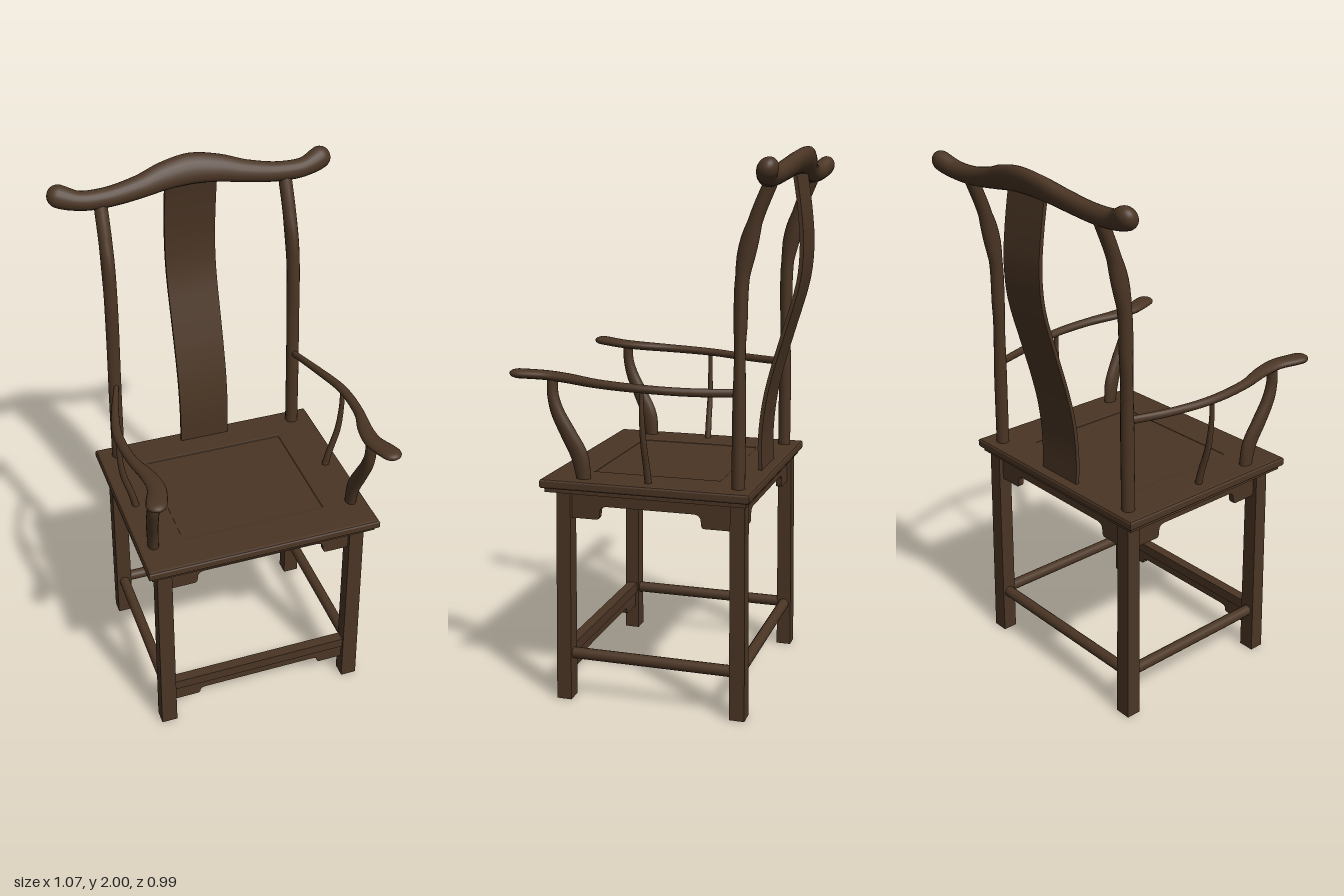
import * as THREE from 'three';

const wood = new THREE.MeshStandardMaterial({ color: 0x4a3524 });
wood.name = 'dark wood';

// Smooth sweep with rounded ends; each point is [x, y, z, sideRadius, upRadius]
function sweep(points, up, capped = true, steps = 48, sides = 16) {
  const path = new THREE.CatmullRomCurve3(points.map(p => new THREE.Vector3(p[0], p[1], p[2])));
  const radii = new THREE.CatmullRomCurve3(points.map(p => new THREE.Vector3(p[3], p[4], 0)));
  const length = path.getLength();
  const pos = [], index = [];
  for (let i = 0; i <= steps; i++) {
    const u = 0.5 - 0.5 * Math.cos(Math.PI * i / steps);
    const t = path.getUtoTmapping(u);
    const c = path.getPoint(t), T = path.getTangent(t), r = radii.getPoint(t);
    const S = new THREE.Vector3().crossVectors(up, T).normalize();
    const U = new THREE.Vector3().crossVectors(T, S);
    const d = Math.min(u, 1 - u) * length / Math.max(r.x, r.y);
    const k = capped && d < 1 ? Math.sqrt(Math.max(1e-6, 1 - (1 - d) ** 2)) : 1;
    for (let j = 0; j < sides; j++) {
      const a = 2 * Math.PI * j / sides;
      const p = c.clone().addScaledVector(S, r.x * k * Math.cos(a)).addScaledVector(U, r.y * k * Math.sin(a));
      pos.push(p.x, p.y, p.z);
      if (i < steps) {
        const n = (j + 1) % sides, o = i * sides, q = o + sides;
        index.push(o + j, o + n, q + j, o + n, q + n, q + j);
      }
    }
  }
  const g = new THREE.BufferGeometry();
  g.setAttribute('position', new THREE.Float32BufferAttribute(pos, 3));
  g.setIndex(index);
  g.computeVertexNormals();
  return g;
}

// Board with a dropped, coved bracket at each end
function apronGeometry(length, top, middle, bottom, bracket, thickness) {
  const h = length / 2, e = h - bracket, c = 0.03, m = (middle + bottom) / 2;
  const s = new THREE.Shape();
  s.moveTo(-h, top);
  s.lineTo(-h, bottom);
  s.lineTo(-e - c, bottom);
  s.quadraticCurveTo(-e - c + 0.012, bottom, -e - c + 0.012, m);
  s.quadraticCurveTo(-e - c + 0.012, middle, -e + c * 0.4, middle);
  s.lineTo(e - c * 0.4, middle);
  s.quadraticCurveTo(e + c - 0.012, middle, e + c - 0.012, m);
  s.quadraticCurveTo(e + c - 0.012, bottom, e + c, bottom);
  s.lineTo(h, bottom);
  s.lineTo(h, top);
  return new THREE.ExtrudeGeometry(s, { depth: thickness, bevelEnabled: false, curveSegments: 6 })
    .translate(0, 0, -thickness / 2);
}

function rectangle(Type, w, d) {
  const s = new Type();
  s.moveTo(-w / 2, -d / 2);
  s.lineTo(w / 2, -d / 2);
  s.lineTo(w / 2, d / 2);
  s.lineTo(-w / 2, d / 2);
  s.closePath();
  return s;
}

export function createModel() {
  const model = new THREE.Group();
  model.name = 'armchair';
  const Y = new THREE.Vector3(0, 1, 0), X = new THREE.Vector3(1, 0, 0);
  const add = (name, geometry, x = 0, y = 0, z = 0) => {
    const mesh = new THREE.Mesh(geometry, wood);
    mesh.name = name;
    mesh.position.set(x, y, z);
    model.add(mesh);
    return mesh;
  };

  // Seat: mitred frame, inset panel and a narrower lower edge
  const frame = rectangle(THREE.Shape, 0.87, 0.745);
  frame.holes.push(rectangle(THREE.Path, 0.57, 0.49));
  add('seatFrame', new THREE.ExtrudeGeometry(frame, {
    depth: 0.02, bevelEnabled: true, bevelSize: 0.012, bevelOffset: 0, bevelThickness: 0.008, bevelSegments: 2,
  }).rotateX(-Math.PI / 2), 0, 0.812, 0.003);
  add('seatPanel', new THREE.BoxGeometry(0.562, 0.03, 0.482), 0, 0.821, 0);
  add('seatBase', new THREE.BoxGeometry(0.865, 0.025, 0.74), 0, 0.8025, 0.003);

  // Splayed square legs
  for (const sx of [-1, 1]) for (const [z, sz] of [[0.315, 1], [-0.332, -1]]) {
    const leg = new THREE.BoxGeometry(0.062, 0.8, 0.056);
    const p = leg.attributes.position;
    for (let i = 0; i < p.count; i++) {
      const top = p.getY(i) > 0;
      p.setX(i, p.getX(i) * (top ? 0.9 : 1) + sx * (top ? 0.377 : 0.384));
      p.setZ(i, p.getZ(i) * (top ? 0.95 : 1) + z + sz * (top ? -0.002 : 0.005));
    }
    leg.computeVertexNormals();
    add(sz > 0 ? 'frontLeg' : 'backLeg', leg, 0, 0.4, 0);
  }

  // Aprons under the seat on all four sides, and the low front footrest
  const wide = apronGeometry(0.72, 0.795, 0.74, 0.69, 0.13, 0.022);
  const deep = apronGeometry(0.6, 0.795, 0.74, 0.69, 0.13, 0.022);
  add('frontApron', wide, 0, 0, 0.315);
  add('backApron', wide, 0, 0, -0.33);
  for (const sx of [-1, 1]) add('sideApron', deep, sx * 0.378, 0, -0.007).rotation.y = Math.PI / 2;
  add('footrestApron', apronGeometry(0.72, 0.17, 0.122, 0.095, 0.13, 0.022), 0, 0, 0.317);
  add('footrest', new THREE.BoxGeometry(0.72, 0.04, 0.04), 0, 0.178, 0.317);

  // Round stretchers
  const rod = len => new THREE.CylinderGeometry(0.021, 0.021, len, 16);
  for (const sx of [-1, 1]) add('sideStretcher', rod(0.64).rotateX(Math.PI / 2), sx * 0.382, 0.172, -0.008);
  add('backStretcher', rod(0.74).rotateZ(Math.PI / 2), 0, 0.172, -0.335);

  for (const s of [-1, 1]) {
    // Curved back post rising from the back leg
    add('backPost', sweep([
      [s * 0.368, 0.8, -0.323, 0.024, 0.025], [s * 0.364, 1.1, -0.323, 0.024, 0.025],
      [s * 0.358, 1.4, -0.323, 0.024, 0.025], [s * 0.355, 1.58, -0.329, 0.025, 0.025],
      [s * 0.351, 1.75, -0.367, 0.025, 0.025], [s * 0.348, 1.9, -0.427, 0.024, 0.025],
    ], X, false));

    // Arm that flares into a flat hand rest
    add('armrest', sweep([
      [s * 0.357, 1.172, -0.32, 0.009, 0.015], [s * 0.405, 1.175, -0.16, 0.014, 0.015],
      [s * 0.438, 1.184, 0, 0.018, 0.015], [s * 0.432, 1.193, 0.17, 0.019, 0.016],
      [s * 0.405, 1.202, 0.29, 0.028, 0.017], [s * 0.4, 1.208, 0.37, 0.033, 0.017],
      [s * 0.42, 1.213, 0.44, 0.037, 0.017], [s * 0.438, 1.216, 0.495, 0.036, 0.017],
    ], Y));

    // Curved front support and slender middle support of the arm
    add('armFrontSupport', sweep([
      [s * 0.388, 0.82, 0.237, 0.025, 0.02], [s * 0.392, 0.92, 0.253, 0.032, 0.021],
      [s * 0.4, 1.0, 0.29, 0.029, 0.022], [s * 0.405, 1.08, 0.329, 0.024, 0.022],
      [s * 0.405, 1.14, 0.345, 0.02, 0.021], [s * 0.403, 1.205, 0.347, 0.019, 0.02],
    ], X, false));
    add('armMiddleSupport', sweep([
      [s * 0.382, 0.82, -0.002, 0.013, 0.014], [s * 0.4, 0.9, 0, 0.012, 0.013],
      [s * 0.428, 1.0, 0.002, 0.011, 0.012], [s * 0.438, 1.1, 0.004, 0.009, 0.01],
      [s * 0.438, 1.18, 0.005, 0.008, 0.009],
    ], X, false, 24, 12));
  }

  // S-curved back splat
  const spine = new THREE.CatmullRomCurve3([
    [0.82, -0.335], [0.96, -0.332], [1.1, -0.347], [1.22, -0.375], [1.34, -0.41], [1.53, -0.463],
    [1.66, -0.473], [1.79, -0.462], [1.93, -0.44],
  ].map(([y, z]) => new THREE.Vector3(0, y, z)));
  const splat = new THREE.BoxGeometry(0.196, 1, 0.014, 1, 32, 1);
  const sp = splat.attributes.position;
  for (let i = 0; i < sp.count; i++) {
    const c = spine.getPoint(sp.getY(i) + 0.5);
    sp.setXYZ(i, sp.getX(i), c.y, c.z + sp.getZ(i));
  }
  splat.computeVertexNormals();
  add('backSplat', splat, -0.006, 0, 0);

  // Yoke-shaped top rail, tilted back
  const half = [
    [0.1, 1.94, -0.446, 0.031, 0.05], [0.2, 1.919, -0.432, 0.031, 0.041],
    [0.32, 1.902, -0.424, 0.031, 0.036], [0.42, 1.903, -0.425, 0.032, 0.035],
    [0.48, 1.92, -0.437, 0.034, 0.041], [0.528, 1.942, -0.45, 0.035, 0.042],
  ];
  const mirrored = half.map(([x, ...rest]) => [-x, ...rest]).reverse();
  add('topRail', sweep([...mirrored, [0, 1.95, -0.453, 0.031, 0.055], ...half],
    new THREE.Vector3(0, 0.86, -0.5), true, 80, 20));

  return model;
}
